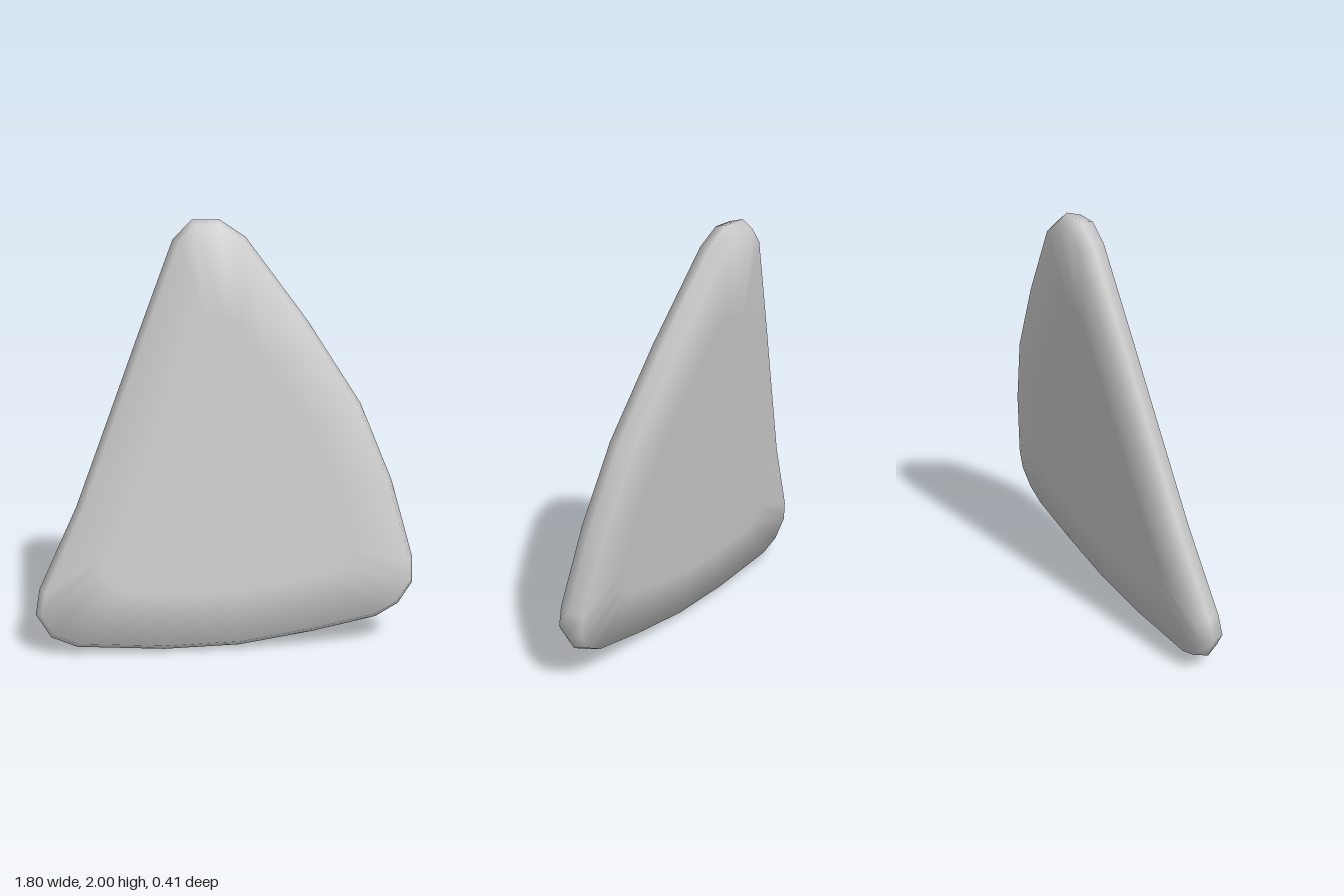
import * as THREE from 'three';

// Outline of the plate, clockwise from the tip as seen from the front
const OUTLINE = [
  [-0.14, 2], [-0.01, 2], [0.11, 1.92], [0.4, 1.53], [0.65, 1.14], [0.8, 0.77], [0.9, 0.4],
  [0.9, 0.28], [0.83, 0.18], [0.72, 0.12], [0.41, 0.06], [0.06, 0.01], [-0.3, 0.003], [-0.71, 0.03],
  [-0.83, 0.08], [-0.9, 0.19], [-0.88, 0.31], [-0.7, 0.69], [-0.55, 1.08], [-0.39, 1.5], [-0.23, 1.91],
].map(([x, y]) => new THREE.Vector2(x, y));

const CENTRE = new THREE.Vector2(0, 0.75);
const AXIS = new THREE.Vector3(0.022, 0.143, 1).normalize(); // leaning direction the plate faces

// Cross-section from front to back: scale to centre, rim inset, depth, tilt of the normal in degrees
const RINGS = [
  [0, 0, 0.062, 0],
  [0.65, 0, 0.062, 0],
  [1, 0.028, 0.062, 33],
  [1, 0, 0, 90],
  [1, 0.028, -0.062, 147],
  [0.65, 0, -0.062, 180],
  [0, 0, -0.062, 180],
];

function plateGeometry() {
  const n = OUTLINE.length, positions = [], normals = [], index = [];
  for (const [scale, inset, depth, tilt] of RINGS) {
    const a = THREE.MathUtils.degToRad(tilt);
    OUTLINE.forEach((p, i) => {
      // outward direction from the neighbouring points
      const t = OUTLINE[(i + 1) % n].clone().sub(OUTLINE[(i + n - 1) % n]).normalize();
      const out = new THREE.Vector2(-t.y, t.x);
      const q = p.clone().addScaledVector(out, -inset).sub(CENTRE).multiplyScalar(scale).add(CENTRE);
      // lay the point on the leaning mid-plane, then move it through the thickness
      const z = 0.137 - 0.143 * (q.y - 0.05) - 0.022 * (q.x + 0.8);
      const v = new THREE.Vector3(q.x, q.y, z).addScaledVector(AXIS, depth);
      const side = new THREE.Vector3(out.x, out.y, 0).projectOnPlane(AXIS).normalize();
      const normal = side.multiplyScalar(Math.sin(a)).addScaledVector(AXIS, Math.cos(a));
      positions.push(...v.toArray());
      normals.push(...normal.toArray());
    });
  }
  for (let r = 0; r < RINGS.length - 1; r++) {
    for (let i = 0; i < n; i++) {
      const a = r * n + i, b = r * n + (i + 1) % n, c = a + n, d = b + n;
      if (r > 0) index.push(a, b, c);
      if (r < RINGS.length - 2) index.push(b, d, c);
      if (r === 0) index.push(b, d, c);
    }
  }
  const g = new THREE.BufferGeometry();
  g.setAttribute('position', new THREE.Float32BufferAttribute(positions, 3));
  g.setAttribute('normal', new THREE.Float32BufferAttribute(normals, 3));
  g.setIndex(index);
  return g;
}

export function createModel() {
  const group = new THREE.Group();
  group.name = 'leaningPlate';
  const plate = new THREE.Mesh(plateGeometry(), new THREE.MeshStandardMaterial({ color: 0xcccccc }));
  plate.name = 'roundedTriangularPlate';
  group.add(plate);
  return group;
}
